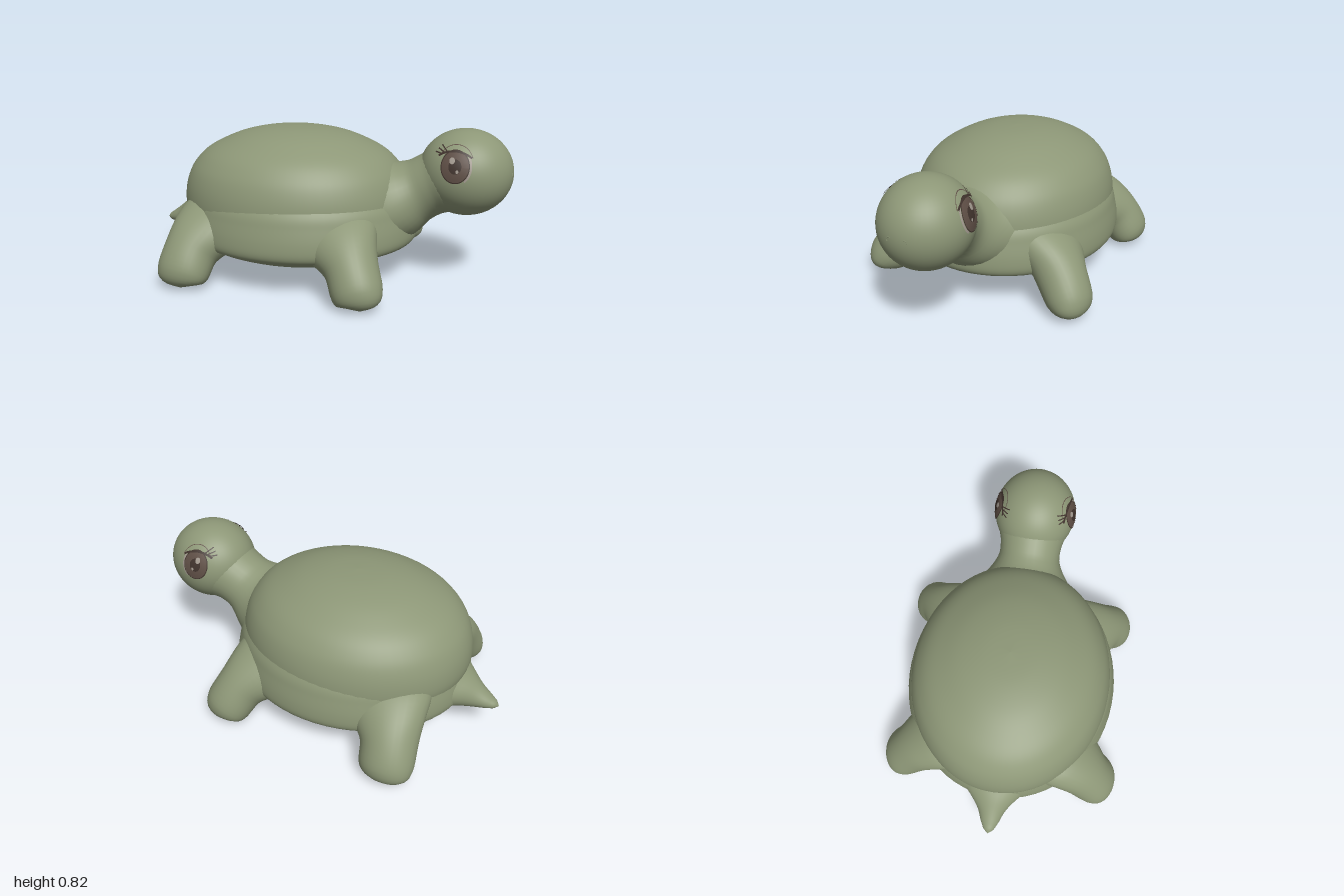
import * as THREE from 'three';

const V3 = (x, y, z) => new THREE.Vector3(x, y, z);
const HEAD = { c: V3(0.757, 0.603, 0), r: V3(0.242, 0.225, 0.226) };

// Smooth tube through stations [x, y, z, a, b]; a is the radius along ref, b across it
function loft(stations, ref, steps = 28, sides = 32) {
  const path = new THREE.CatmullRomCurve3(stations.map(s => V3(s[0], s[1], s[2])));
  const radii = new THREE.CatmullRomCurve3(stations.map(s => V3(s[3], s[4], 0)), false, 'catmullrom');
  const pos = [], index = [];
  for (let i = 0; i <= steps; i++) {
    const c = path.getPoint(i / steps), r = radii.getPoint(i / steps), t = path.getTangent(i / steps);
    const u = ref.clone().addScaledVector(t, -ref.dot(t)).normalize();
    const v = t.clone().cross(u);
    for (let j = 0; j < sides; j++) {
      const k = j / sides * Math.PI * 2;
      const p = c.clone().addScaledVector(u, Math.cos(k) * Math.max(r.x, 0))
        .addScaledVector(v, Math.sin(k) * Math.max(r.y, 0));
      pos.push(p.x, p.y, p.z);
      if (i < steps) {
        const n = (j + 1) % sides, a = i * sides + j, b = i * sides + n;
        index.push(a, b, a + sides, b, b + sides, a + sides);
      }
    }
  }
  const g = new THREE.BufferGeometry();
  g.setAttribute('position', new THREE.Float32BufferAttribute(pos, 3));
  g.setIndex(index);
  g.computeVertexNormals();
  return g;
}

// Oval dome or bowl from a profile of [fraction of radius, height]
function ovalLathe(profile, a, b, cx) {
  const pts = new THREE.SplineCurve(profile.map(p => new THREE.Vector2(...p))).getPoints(40);
  pts.forEach(p => { p.x = Math.max(p.x, 0); });
  return new THREE.LatheGeometry(pts, 64).scale(a, 1, b).translate(cx, 0, 0);
}

// Lay a flat geometry on the side of the head
function onHead(geo, x, y, lift, side) {
  geo.translate(x, y, 0);
  const p = geo.attributes.position;
  for (let i = 0; i < p.count; i++) {
    const dx = (p.getX(i) - HEAD.c.x) / HEAD.r.x, dy = (p.getY(i) - HEAD.c.y) / HEAD.r.y;
    const z = HEAD.r.z * Math.sqrt(Math.max(0, 1 - dx * dx - dy * dy));
    p.setZ(i, side * (z + lift));
  }
  geo.computeVertexNormals();
  return geo;
}

export function createModel() {
  const group = new THREE.Group();
  const mat = (name, color, side = THREE.DoubleSide) => {
    const m = new THREE.MeshStandardMaterial({ color, side });
    m.name = name;
    return m;
  };
  const green = mat('sage green', 0x8d9777, THREE.FrontSide);
  const brown = mat('eye brown', 0x5f4f46);
  const dark = mat('dark brown', 0x40332d);
  const pale = mat('eye highlight', 0xa39a90);
  const add = (name, geo, material = green, parent = group) => {
    const m = new THREE.Mesh(geo, material);
    m.name = name;
    parent.add(m);
    return m;
  };

  // Shell, the soft body rim under it and the shallow belly
  add('shell', ovalLathe([[0.97, 0.3], [1, 0.38], [0.99, 0.47], [0.95, 0.55], [0.89, 0.61], [0.8, 0.665],
    [0.67, 0.712], [0.48, 0.76], [0.25, 0.79], [0, 0.799]], 0.635, 0.54, -0.17));
  add('bodyRim', ovalLathe([[0.92, 0.19], [0.975, 0.205], [1, 0.24], [0.995, 0.3], [0.97, 0.37],
    [0.94, 0.43], [0.87, 0.5]], 0.66, 0.58, -0.152));
  add('belly', ovalLathe([[0, 0.056], [0.3, 0.067], [0.6, 0.105], [0.82, 0.155], [0.94, 0.195]],
    0.66, 0.58, -0.152));

  // Neck, head and tail
  const Z = V3(0, 0, 1), X = V3(1, 0, 0);
  add('neck', loft([[0.16, 0.38, 0, 0.4, 0.24], [0.3, 0.405, 0, 0.34, 0.235], [0.41, 0.435, 0, 0.245, 0.215],
    [0.51, 0.485, 0, 0.178, 0.17], [0.59, 0.528, 0, 0.174, 0.166], [0.66, 0.56, 0, 0.195, 0.183],
    [0.74, 0.595, 0, 0.2, 0.18]], Z));
  add('head', new THREE.SphereGeometry(1, 48, 32).scale(...HEAD.r.toArray()).translate(...HEAD.c.toArray()));
  add('tail', loft([[-0.56, 0.29, 0, 0.34, 0.13], [-0.69, 0.28, 0, 0.26, 0.12], [-0.78, 0.257, 0, 0.155, 0.1],
    [-0.865, 0.23, 0, 0.082, 0.07], [-0.94, 0.212, 0, 0.048, 0.038], [-0.98, 0.204, 0, 0.026, 0.02],
    [-1, 0.2, 0, 0, 0]], Z));

  for (const s of [1, -1]) {
    const sideName = s > 0 ? 'left' : 'right';

    // Legs flare into the body at the hip and end in rounded feet
    add(sideName + 'FrontLeg', loft([[0.08, 0.36, s * 0.2, 0.2, 0.1], [0.15, 0.325, s * 0.32, 0.23, 0.125],
      [0.215, 0.27, s * 0.405, 0.185, 0.13], [0.28, 0.19, s * 0.48, 0.138, 0.13],
      [0.33, 0.092, s * 0.55, 0.128, 0.115], [0.348, 0.045, s * 0.573, 0.1, 0.078],
      [0.352, 0.015, s * 0.58, 0, 0]], X));
    add(sideName + 'BackLeg', loft([[-0.42, 0.36, s * 0.2, 0.2, 0.1], [-0.5, 0.325, s * 0.32, 0.23, 0.125],
      [-0.55, 0.27, s * 0.405, 0.19, 0.13], [-0.59, 0.19, s * 0.48, 0.148, 0.13],
      [-0.608, 0.092, s * 0.55, 0.139, 0.115], [-0.612, 0.045, s * 0.573, 0.11, 0.078],
      [-0.612, 0.015, s * 0.58, 0, 0]], X));

    // Nostril crease
    const nostril = add(sideName + 'Nostril', new THREE.TorusGeometry(0.014, 0.002, 6, 16, Math.PI * 1.2));
    nostril.rotation.y = Math.PI / 2;
    nostril.position.set(0.993, 0.605, s * 0.04);

    // Painted eye
    const eye = new THREE.Group();
    eye.name = sideName + 'Eye';
    group.add(eye);
    const disc = (name, r, x, y, lift, material) =>
      add(name, onHead(new THREE.RingGeometry(0, r, 28, 5).scale(0.94, 1.05, 1), x, y, lift, s), material, eye);
    disc('eyeIris', 0.074, 0.726, 0.67, 0.004, brown);
    disc('eyePupil', 0.034, 0.726, 0.672, 0.006, dark);
    disc('eyeShine', 0.015, 0.71, 0.7, 0.008, pale);
    disc('eyeSmallShine', 0.008, 0.738, 0.65, 0.008, pale);
    add('eyeOutline', onHead(new THREE.RingGeometry(0.072, 0.077, 36, 1).scale(0.94, 1.05, 1),
      0.726, 0.67, 0.006, s), dark, eye);
    add('eyeCorner', onHead(new THREE.RingGeometry(0.077, 0.088, 20, 2, -0.9, 1.5).scale(0.94, 1.05, 1),
      0.726, 0.67, 0.004, s), pale, eye);
    add('upperLid', onHead(new THREE.RingGeometry(0.138, 0.147, 24, 1, 0.95, 1.25),
      0.722, 0.6, 0.008, s), dark, eye);
    add('lidCrease', onHead(new THREE.RingGeometry(0.085, 0.088, 24, 1, 0.35, 2.3),
      0.728, 0.685, 0.005, s), brown, eye);

    // Lashes at the rear corner
    for (let i = 0; i < 3; i++) {
      const lash = new THREE.PlaneGeometry(0.038, 0.006, 5, 1).rotateZ(-0.1 - i * 0.3);
      add('eyelash', onHead(lash, 0.638 + i * 0.013, 0.728 + i * 0.012, 0.009, s), dark, eye);
    }
  }
  return group;
}
